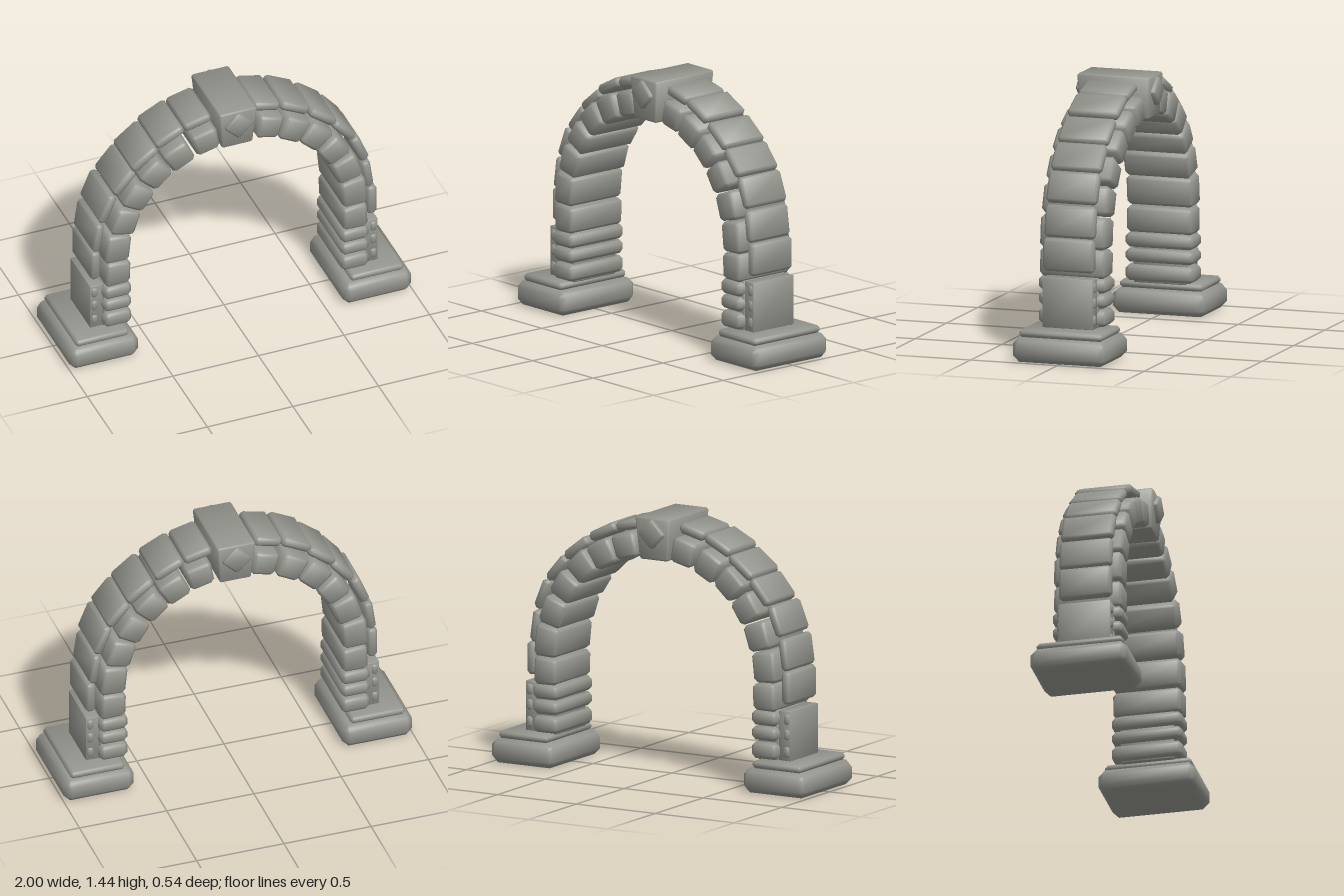
import * as THREE from 'three';

// Chamfered block with soft normals. taper widens y towards +x, flare widens x and z towards +y.
function blockGeometry(w, h, d, bevel, taper = 0, flare = 0) {
  const geo = new THREE.BoxGeometry(1, 1, 1, 3, 3, 3);
  const pos = geo.attributes.position, nor = geo.attributes.normal;
  const half = [w / 2, h / 2, d / 2];
  for (let i = 0; i < pos.count; i++) {
    const p = [pos.getX(i), pos.getY(i), pos.getZ(i)];
    const outer = p.map(v => Math.abs(v) > 0.4);
    const n = outer.filter(Boolean).length;
    const pull = bevel * (n - 1) / n; // edges and corners lie on the chamfer plane
    const q = p.map((v, k) => Math.sign(v) * (half[k] - (outer[k] ? pull : bevel)));
    const m = new THREE.Vector3(...p.map((v, k) => Math.sign(v) * (outer[k] ? 1 : 0.35))).normalize();
    const fx = 1 + flare * q[1] / h;
    pos.setXYZ(i, q[0] * fx, q[1] * (1 + taper * q[0] / w), q[2] * (1 + 0.3 * (fx - 1)));
    nor.setXYZ(i, m.x, m.y, m.z);
  }
  return geo;
}

export function createModel() {
  const arch = new THREE.Group();
  arch.name = 'stoneArch';
  const stone = new THREE.MeshStandardMaterial({ color: 0x94948e });
  stone.name = 'grey stone';

  const add = (name, geo, x, y, z = 0, rot = 0) => {
    const mesh = new THREE.Mesh(geo, stone);
    mesh.name = name;
    mesh.position.set(x, y, z);
    mesh.rotation.z = rot;
    arch.add(mesh);
    return mesh;
  };

  // Inner ring stones: x on left, x on right, y, lean in degrees, radial size, length
  const innerRing = [
    [0.69, 0.695, 0.52, 2, 0.145, 0.15],
    [0.69, 0.69, 0.685, 6, 0.145, 0.17],
    [0.645, 0.65, 0.85, 18, 0.145, 0.155],
    [0.57, 0.575, 0.995, 33, 0.145, 0.145],
    [0.465, 0.47, 1.12, 47, 0.145, 0.15],
    [0.33, 0.34, 1.205, 62, 0.145, 0.15],
    [0.175, 0.195, 1.265, 76, 0.14, 0.145],
  ];
  // Outer ring slabs, same layout
  const outerRing = [
    [0.805, 0.81, 0.575, 0, 0.057, 0.18],
    [0.79, 0.785, 0.755, 8, 0.052, 0.175],
    [0.735, 0.74, 0.935, 22, 0.056, 0.175],
    [0.635, 0.65, 1.085, 40, 0.056, 0.17],
    [0.515, 0.525, 1.21, 52, 0.056, 0.18],
    [0.37, 0.36, 1.318, 63, 0.056, 0.18],
    [0.208, 0.195, 1.375, 76, 0.056, 0.16],
  ];

  for (const side of [1, -1]) {
    const label = side > 0 ? 'left' : 'right';

    // Footing
    add(label + 'Base', blockGeometry(0.4, 0.135, 0.54, 0.036), side * 0.798, 0.0675);
    add(label + 'Plinth', blockGeometry(0.31, 0.042, 0.48, 0.015), side * 0.803, 0.155);

    // Pillar courses with the flat buttress behind them
    [[0.225, 0.09], [0.32, 0.075], [0.405, 0.08]].forEach(([y, h], i) => {
      add(label + 'PillarStone' + (i + 1), blockGeometry(0.16, h, 0.392, 0.022), side * 0.693, y);
      add(label + 'ButtressStud' + (i + 1), blockGeometry(0.042, 0.064, 0.31, 0.013), side * 0.815, y);
    });
    add(label + 'PillarCore', blockGeometry(0.13, 0.28, 0.3, 0.005), side * 0.7, 0.31);
    add(label + 'Buttress', blockGeometry(0.075, 0.275, 0.29, 0.003), side * 0.803, 0.3125);

    // Arch rings
    const ring = (name, rows, depth, bevel, taper) => rows.forEach(([xr, xl, y, deg, w, l], i) => {
      const lean = THREE.MathUtils.degToRad(deg);
      add(label + name + (i + 1), blockGeometry(w, l, depth, bevel, taper),
        side > 0 ? xl : -xr, y, 0, side > 0 ? lean : Math.PI - lean);
    });
    ring('InnerStone', innerRing, 0.38, 0.02, 0.12);
    ring('OuterSlab', outerRing, 0.292, 0.017, 0);
  }

  // Keystone with a raised diamond on both faces
  add('keystone', blockGeometry(0.2, 0.235, 0.408, 0.01, 0, 0.22), 0, 1.327);
  for (const s of [1, -1]) {
    add(s > 0 ? 'frontDiamond' : 'backDiamond', blockGeometry(0.122, 0.122, 0.06, 0.012),
      0, 1.357, s * 0.2, Math.PI / 4);
  }
  return arch;
}
